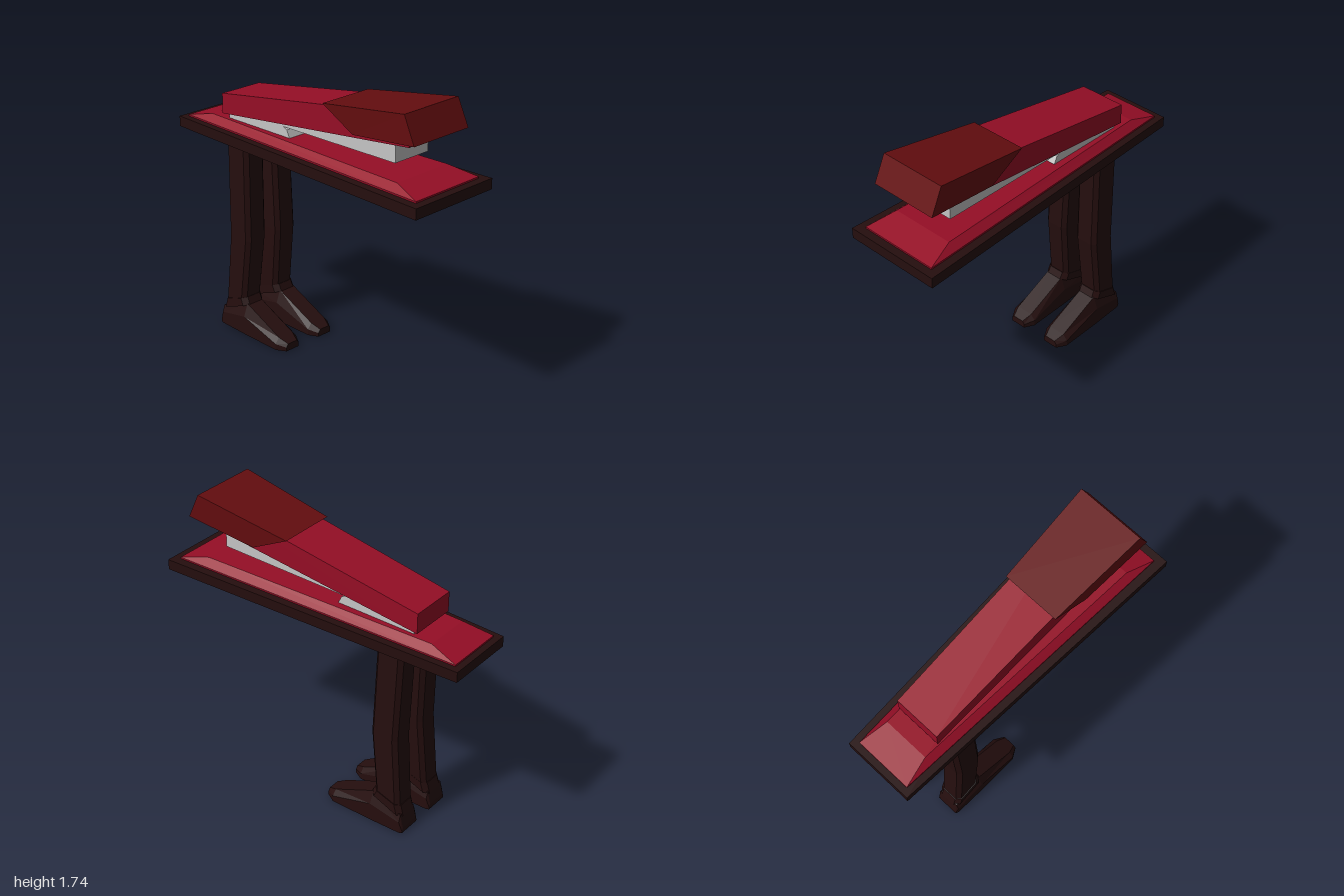
import * as THREE from 'three';

const mat = (name, color) => Object.assign(new THREE.MeshStandardMaterial({ color, flatShading: true }), { name });

// Closed solid through a list of rings (equal-length lists of [x, y, z]), with outward faces
function loft(rings) {
  const n = rings[0].length, tris = [];
  for (let r = 0; r < rings.length - 1; r++) {
    const a = rings[r], b = rings[r + 1];
    for (let i = 0; i < n; i++) {
      const j = (i + 1) % n;
      tris.push([a[i], a[j], b[j]], [a[i], b[j], b[i]]);
    }
  }
  const first = rings[0], last = rings[rings.length - 1];
  for (let i = 1; i < n - 1; i++) {
    tris.push([first[0], first[i + 1], first[i]], [last[0], last[i], last[i + 1]]);
  }
  const v = (p) => new THREE.Vector3(...p);
  const volume = tris.reduce((s, [a, b, c]) => s + v(a).dot(v(b).cross(v(c))), 0);
  if (volume < 0) tris.forEach((t) => t.reverse());
  const g = new THREE.BufferGeometry();
  g.setAttribute('position', new THREE.Float32BufferAttribute(tris.flat(2), 3));
  g.computeVertexNormals();
  return g;
}

// Horizontal trapezoid, symmetric in x
const trapezoid = (y, zBack, wBack, zFront, wFront) =>
  [[-wBack, y, zBack], [wBack, y, zBack], [wFront, y, zFront], [-wFront, y, zFront]];

// Side profile of [z, y, halfWidth] spread to both sides
const profile = (pts) => loft([-1, 1].map((s) => pts.map(([z, y, w]) => [s * w, y, z])));

// Chamfered rectangle whose height may slope from front to back
function legRing(x0, x1, zBack, yBack, zFront, yFront, c) {
  const pts = [[x0 + c, 0], [x1 - c, 0], [x1, c], [x1, 1 - c], [x1 - c, 1], [x0 + c, 1], [x0, 1 - c], [x0, c]];
  const d = zFront - zBack;
  return pts.map(([x, t]) => {
    const k = t === c ? c / d : t === 1 - c ? 1 - c / d : t;
    return [x, yBack + (yFront - yBack) * k, zBack + d * k];
  });
}

// Cross-section of the shoe at z, chamfered along the top
const shoeRing = (z, x0, x1, y0, mid, top, c) =>
  [[x0, y0, z], [x1, y0, z], [x1, mid, z], [x1 - c, top, z], [x0 + c, top, z], [x0, mid, z]];

export function createModel() {
  const dark = mat('darkBrown', 0x250e0e);
  const red = mat('crimson', 0x960e26);
  const maroon = mat('maroon', 0x640d0f);
  const grey = mat('lightGrey', 0xc6c6c6);
  const model = new THREE.Group();
  model.name = 'staplerWithLegs';
  const add = (parent, name, geometry, material) => {
    const m = new THREE.Mesh(geometry, material);
    m.name = name;
    parent.add(m);
  };

  // Tapered base slab and bevelled plate on it
  add(model, 'base', loft([trapezoid(1.235, -1, 0.222, 1, 0.31), trapezoid(1.3, -1, 0.222, 1, 0.31)]), dark);
  add(model, 'basePlate', loft([
    trapezoid(1.295, -0.96, 0.182, 0.95, 0.255),
    trapezoid(1.31, -0.96, 0.182, 0.95, 0.255),
    trapezoid(1.35, -0.78, 0.145, 0.77, 0.203),
  ]), red);

  // Hinge block and staple magazine
  add(model, 'hingeBlock', profile([
    [-0.13, 1.345, 0.125], [-0.155, 1.395, 0.125], [-0.21, 1.425, 0.125], [-0.65, 1.4, 0.125], [-0.65, 1.345, 0.125],
  ]), grey);
  add(model, 'magazine', profile([
    [0.69, 1.42, 0.132], [0.69, 1.57, 0.132], [-0.5, 1.44, 0.128], [-0.5, 1.408, 0.128],
  ]), grey);

  // Upper arm and its front cap
  add(model, 'arm', profile([
    [-0.685, 1.375, 0.147], [-0.685, 1.5, 0.147], [0.8, 1.732, 0.172], [0.82, 1.55, 0.172],
  ]), red);
  add(model, 'frontCap', profile([
    [0.82, 1.745, 0.215], [0.19, 1.65, 0.182], [0.43, 1.53, 0.192], [0.895, 1.585, 0.217],
  ]), maroon);

  // Mirrored legs, cuffs and shoes
  for (const [side, s] of [['left', 1], ['right', -1]]) {
    const leg = new THREE.Group();
    leg.name = side + 'Leg';
    model.add(leg);
    const part = (name, rings) =>
      add(leg, name, loft(rings.map((r) => r.map(([x, y, z]) => [s * x, y, z]))), dark);
    part('shin', [
      legRing(0.033, 0.187, -0.62, 1.24, -0.44, 1.24, 0.025),
      legRing(0.043, 0.2, -0.602, 0.63, -0.422, 0.63, 0.025),
      legRing(0.055, 0.207, -0.64, 0.17, -0.468, 0.2, 0.025),
    ]);
    part('cuff', [
      legRing(0.053, 0.213, -0.662, 0.12, -0.438, 0.205, 0.03),
      legRing(0.053, 0.211, -0.642, 0.19, -0.458, 0.248, 0.03),
    ]);
    part('shoe', [
      shoeRing(-0.675, 0.065, 0.21, 0.015, 0.03, 0.05, 0.01),
      shoeRing(-0.655, 0.058, 0.217, 0.014, 0.09, 0.135, 0.015),
      shoeRing(-0.45, 0.052, 0.222, 0.011, 0.13, 0.21, 0.03),
      shoeRing(-0.17, 0.052, 0.222, 0.006, 0.045, 0.079, 0.03),
      shoeRing(-0.11, 0.085, 0.187, 0.005, 0.03, 0.05, 0.015),
    ]);
  }
  return model;
}
